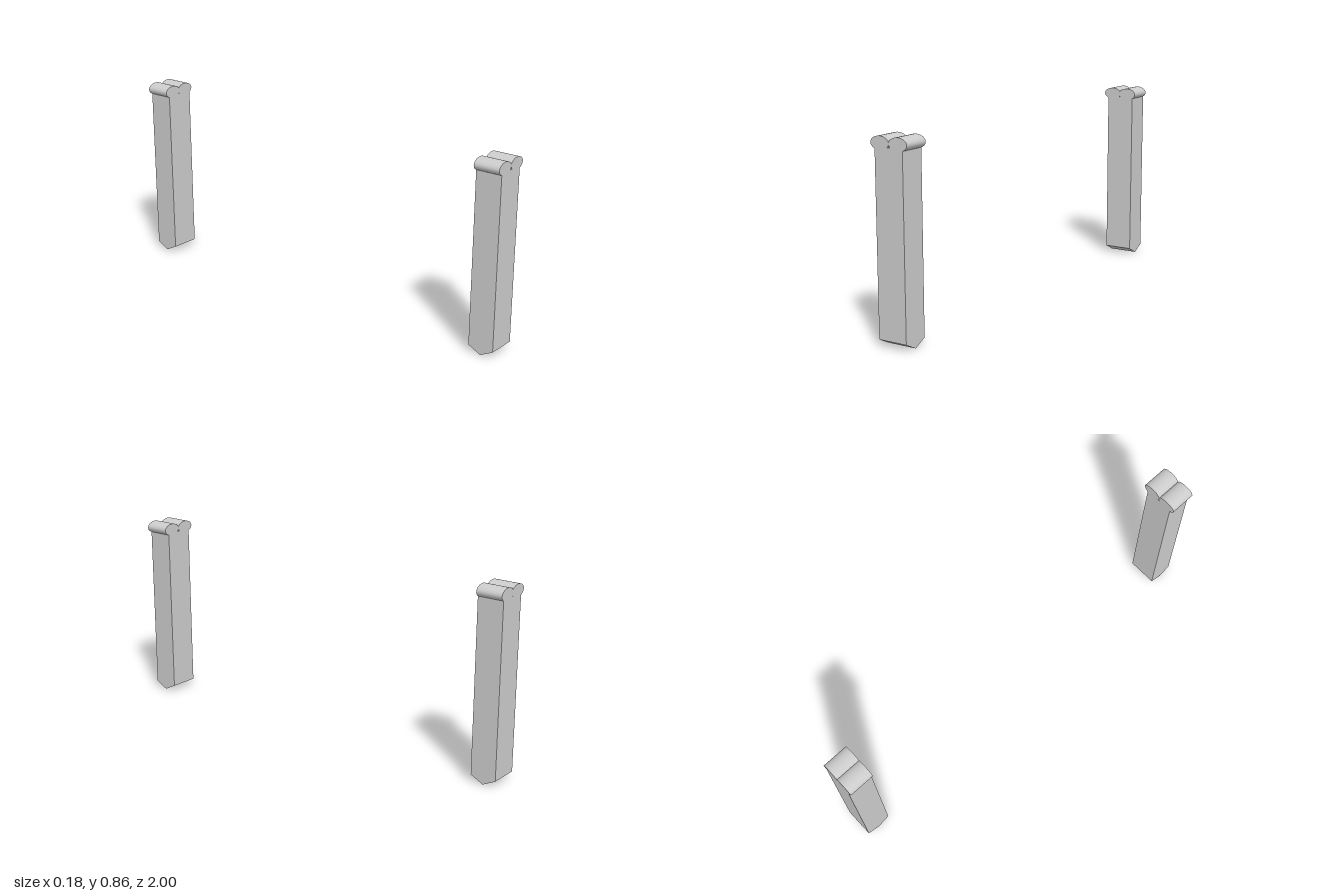
import * as THREE from 'three';

const material = new THREE.MeshStandardMaterial({ color: 0xcccccc });
const DEPTH = 0.12;

// Square shaft with a wedge-shaped foot, drawn in the z-y plane and extruded along x
function makeShaft() {
  const h = DEPTH / 2;
  const profile = new THREE.Shape([
    [0, 0], [h, 0.03], [h, 0.817], [-h, 0.817], [-h, 0.03],
  ].map(([z, y]) => new THREE.Vector2(z, y)));
  const geometry = new THREE.ExtrudeGeometry(profile, { depth: 0.137, bevelEnabled: false });
  geometry.translate(0, 0, -0.067).rotateY(-Math.PI / 2);
  const mesh = new THREE.Mesh(geometry, material);
  mesh.name = 'shaft';
  // centre the shaft on its slightly left-shifted span, -0.07 to 0.067
  geometry.computeBoundingBox();
  geometry.translate(-0.07 - geometry.boundingBox.min.x, 0, 0);
  return mesh;
}

// Oval roll lying across the top of the shaft
function makeRoll(name, x) {
  const geometry = new THREE.CylinderGeometry(1, 1, DEPTH, 48);
  geometry.rotateX(Math.PI / 2).scale(0.045, 0.028, 1);
  const mesh = new THREE.Mesh(geometry, material);
  mesh.name = name;
  mesh.position.set(x, 0.833, 0);
  return mesh;
}

function makePost(name, z, leftRollX) {
  const post = new THREE.Group();
  post.name = name;
  post.add(makeShaft(), makeRoll('rightRoll', -0.045), makeRoll('leftRoll', leftRollX));
  post.position.z = z;
  return post;
}

export function createModel() {
  const model = new THREE.Group();
  model.name = 'postPair';
  // the rolls of the back post overlap slightly
  model.add(makePost('frontPost', 0.94, 0.044), makePost('backPost', -0.94, 0.036));
  return model;
}
